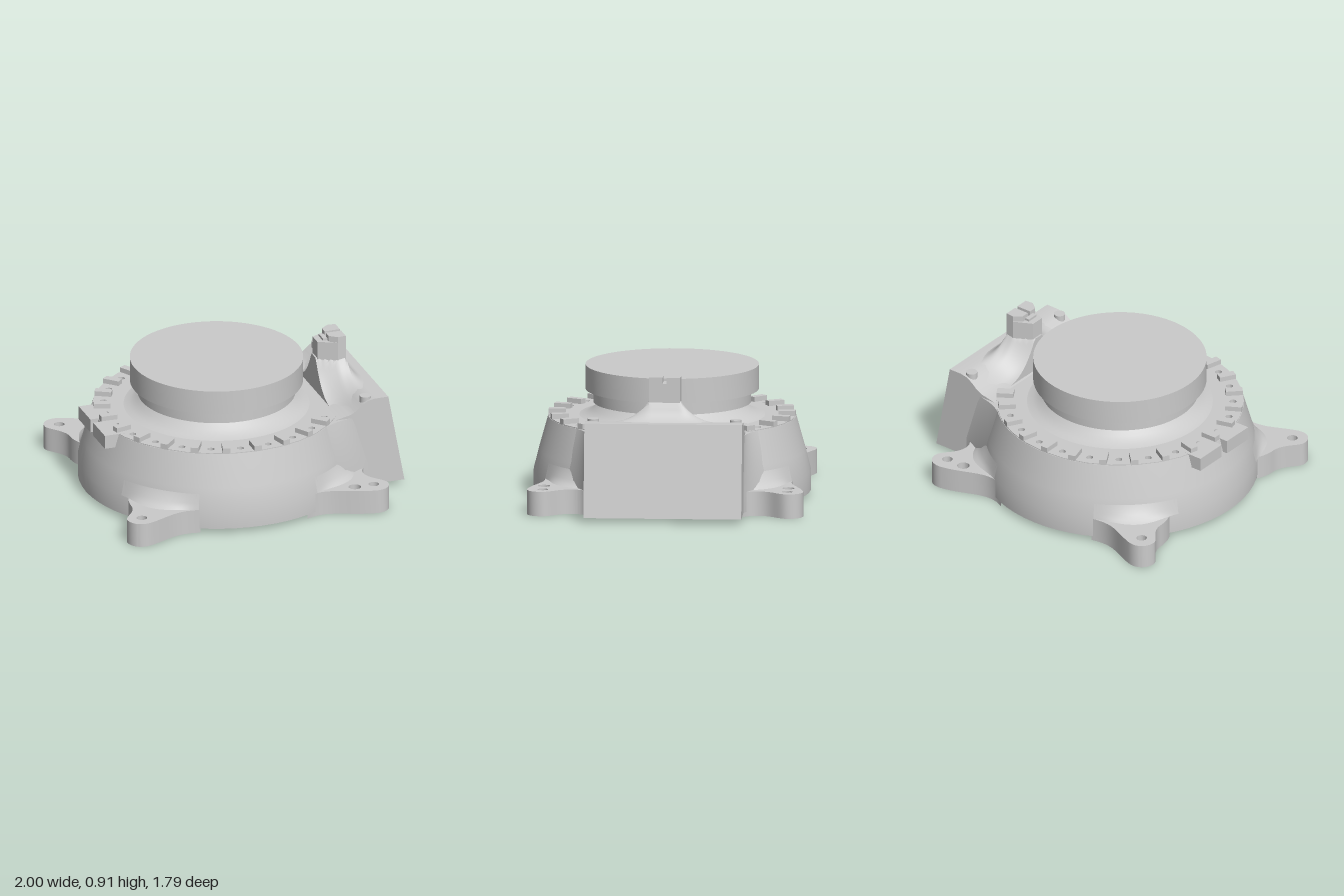
import * as THREE from 'three';
import { toCreasedNormals } from 'three/addons/utils/BufferGeometryUtils.js';

const CX = -0.105; // axis of the round housing
const rad = THREE.MathUtils.degToRad;
const grey = new THREE.MeshStandardMaterial({ color: 0xcccccc });
const greyDouble = new THREE.MeshStandardMaterial({ color: 0xcccccc, side: THREE.DoubleSide });

export function createModel() {
  const model = new THREE.Group();
  const add = (name, geo, mat = grey) => {
    const mesh = new THREE.Mesh(toCreasedNormals(geo, 0.5), mat);
    mesh.name = name;
    model.add(mesh);
    return mesh;
  };
  // plan outline (x, z) raised from y0 to y1
  const slab = (shape, y0, y1) =>
    new THREE.ExtrudeGeometry(shape, { depth: y1 - y0, bevelEnabled: false, curveSegments: 16 })
      .rotateX(Math.PI / 2).translate(0, y1, 0);
  const poly = pts => new THREE.Shape(pts.map(p => new THREE.Vector2(...p)));
  const circle = (x, z, r) => new THREE.Path().absarc(x, z, r, 0, Math.PI * 2);
  // surface through rows of [x, y, z] points
  const loft = rows => {
    const n = rows[0].length, idx = [];
    for (let r = 0; r < rows.length - 1; r++)
      for (let i = 0; i < n - 1; i++) {
        const a = r * n + i, b = a + n;
        idx.push(a, b, a + 1, b, b + 1, a + 1);
      }
    const geo = new THREE.BufferGeometry();
    geo.setAttribute('position', new THREE.Float32BufferAttribute(rows.flat(2), 3));
    geo.setIndex(idx);
    geo.computeVertexNormals();
    return geo;
  };
  const lathe = pts => new THREE.LatheGeometry(pts.map(p => new THREE.Vector2(...p)), 64).translate(CX, 0, 0);

  // Conical housing and the turntable above it
  add('housing', lathe([[0, 0.03], [0.895, 0.03], [0.895, 0.16], [0.86, 0.3], [0.8, 0.515], [0.79, 0.515],
    [0.785, 0.495], [0.6, 0.495], [0.6, 0.52], [0.56, 0.53], [0.51, 0.56], [0.465, 0.61], [0, 0.61]]));
  add('turntable', lathe([[0, 0.605], [0.51, 0.605], [0.51, 0.69], [0.56, 0.69], [0.56, 0.85], [0, 0.85]]));

  // Ring plate with drilled holes
  const ring = new THREE.Shape().absarc(CX, 0, 0.798, 0, Math.PI * 2);
  ring.holes.push(circle(CX, 0, 0.59));
  for (let a = 37.5; a < 308; a += 15)
    ring.holes.push(circle(CX + 0.73 * Math.cos(rad(a)), 0.73 * Math.sin(rad(a)), 0.022));
  add('ringPlate', slab(ring, 0.497, 0.52));

  // Radial index blocks around the ring
  const block = (deg, r, width) => {
    const mesh = add('indexBlock', new THREE.BoxGeometry(0.11, 0.05, width));
    mesh.position.set(CX + r * Math.cos(rad(deg)), 0.527, r * Math.sin(rad(deg)));
    mesh.rotation.y = -rad(deg);
  };
  for (let a = 45; a <= 300; a += 15) block(a, 0.742, 0.05);
  block(-43.6, 0.732, 0.065);
  block(-32.6, 0.742, 0.065);

  // Slotted ledge on the side opposite the rear block
  add('sideLedge', slab(poly([[-0.82, 0.25], [-0.96, 0.25], [-0.96, 0.028], [-0.9, 0.028], [-0.9, -0.028],
    [-0.96, -0.028], [-0.96, -0.25], [-0.82, -0.25]]), 0.43, 0.521));

  // Connection block with sloped end
  const profile = poly([[0.3, 0.03], [1, 0.03], [0.89, 0.63], [0.8, 0.63], [0.75, 0.62], [0.71, 0.595],
    [0.67, 0.56], [0.63, 0.538], [0.57, 0.525], [0.52, 0.515], [0.46, 0.515], [0.46, 0.48], [0.3, 0.48]]);
  add('connectionBlock', new THREE.ExtrudeGeometry(profile, { depth: 1.02, bevelEnabled: false })
    .translate(0, 0, -0.51));

  // Flared foot of the post, blending into the top of the block
  const flare = [];
  const base = x => 0.523 + 0.105 * THREE.MathUtils.smoothstep(x, 0.57, 0.8);
  for (let i = 0; i <= 24; i++) {
    const x = 0.56 + (0.33 * i) / 24, row = [];
    for (let j = 0; j <= 60; j++) {
      const z = -0.5 + j / 60;
      const half = Math.min(0.1, 0.045 + (x - 0.57) * 0.46);
      const dx = Math.max(0, x - 0.745) / 0.145, dz = Math.max(0, Math.abs(z) - half) / 0.36;
      const k = Math.max(0, 1 - Math.hypot(dx, dz));
      row.push([x, base(x) + (0.76 - base(x)) * k ** 3.2 - 0.004, z]);
    }
    flare.push(row);
  }
  flare.unshift(flare[0].map(([x, , z]) => [x, 0.5, z]));
  add('postFlare', loft(flare), greyDouble);

  // Post with stepped, slotted top
  add('post', slab(poly([[0.57, -0.045], [0.69, -0.105], [0.745, -0.1], [0.745, 0.1], [0.69, 0.105],
    [0.57, 0.045]]), 0.5, 0.87));
  add('postStep', new THREE.BoxGeometry(0.03, 0.02, 0.08).translate(0.625, 0.875, 0));
  for (const s of [-1, 1]) {
    add('postTop', slab(poly([[0.64, 0.012 * s], [0.64, 0.065 * s], [0.69, 0.105 * s], [0.745, 0.1 * s],
      [0.745, 0.012 * s]]), 0.865, 0.91));
    add('blockPin', new THREE.CylinderGeometry(0.037, 0.037, 0.08, 24).translate(0.75, 0.6, 0.46 * s));

    // Concave corner between cone and block
    const curve = (y, ...p) => new THREE.QuadraticBezierCurve(...p.map(q => new THREE.Vector2(q[0], q[1] * s)))
      .getPoints(14).map(v => [v.x, y, v.y]);
    const low = [[0.382, 0.75], [0.62, 0.555], [0.76, 0.508]];
    const high = [[0.405, 0.61], [0.53, 0.512], [0.67, 0.508]];
    const top = curve(0.515, ...high);
    add('cornerBlend', loft([curve(0.03, ...low).map(() => [0.45, 0.03, 0.45 * s]), curve(0.03, ...low),
      curve(0.16, ...low), top, top.map(() => [0.45, 0.515, 0.45 * s])]), greyDouble);

    // Mounting feet: one hole on one side, two on the other
    const left = new THREE.Shape();
    left.moveTo(-0.5, 0.8 * s);
    left.bezierCurveTo(-0.66, 0.76 * s, -0.72, 0.83 * s, -0.86, 0.88 * s);
    left.bezierCurveTo(-0.94, 0.91 * s, -1.0, 0.86 * s, -1.0, 0.79 * s);
    left.bezierCurveTo(-1.0, 0.74 * s, -0.9, 0.69 * s, -0.9, 0.59 * s);
    left.quadraticCurveTo(-0.9, 0.52 * s, -0.87, 0.46 * s);
    left.lineTo(-0.76, 0.54 * s);
    left.lineTo(-0.62, 0.7 * s);
    left.holes.push(circle(-0.9, 0.79 * s, 0.034));
    add('singleHoleFoot', slab(left, 0, 0.16));

    const right = new THREE.Shape();
    right.moveTo(0.22, 0.83 * s);
    right.bezierCurveTo(0.38, 0.74 * s, 0.48, 0.86 * s, 0.66, 0.89 * s);
    right.bezierCurveTo(0.73, 0.905 * s, 0.785, 0.86 * s, 0.785, 0.8 * s);
    right.bezierCurveTo(0.785, 0.73 * s, 0.685, 0.7 * s, 0.685, 0.6 * s);
    right.quadraticCurveTo(0.685, 0.54 * s, 0.74, 0.505 * s);
    right.lineTo(0.6, 0.505 * s);
    right.lineTo(0.36, 0.73 * s);
    right.holes.push(circle(0.56, 0.79 * s, 0.04), circle(0.69, 0.79 * s, 0.034));
    add('doubleHoleFoot', slab(right, 0, 0.16));

    // Soft fillets from the feet up to the cone
    for (const mid of [45, 135]) {
      const rows = [[0.16, 1], [0.175, 0.6], [0.2, 0.25], [0.26, 0]].map(([y, k]) => {
        const row = [];
        for (let i = -10; i <= 10; i++) {
          const a = rad(mid + i * 1.8);
          const r = 0.895 - (y - 0.16) * 0.25 + 0.06 * k * Math.cos((i / 20) * Math.PI) ** 2;
          row.push([CX + r * Math.cos(a), y, r * Math.sin(a) * s]);
        }
        return row;
      });
      add('footFillet', loft(rows), greyDouble);
    }
  }
  return model;
}
